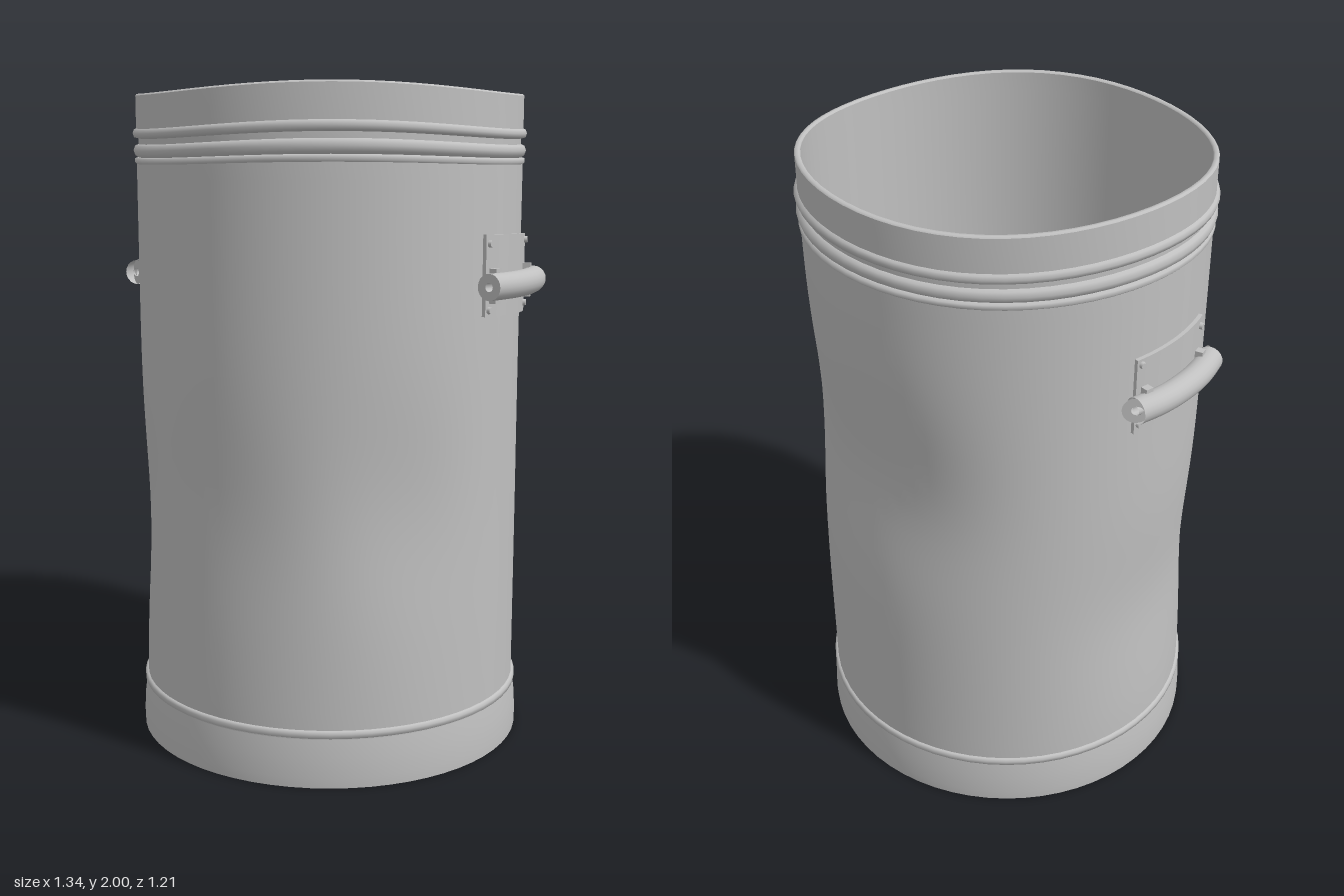
import * as THREE from 'three';
import { mergeVertices } from 'three/addons/utils/BufferGeometryUtils.js';

// Dents: angle from the front towards +x, height, depth, angular width, vertical width
const DENTS = [
  [Math.PI, 1.13, 0.045, 0.5, 0.28],
  [2.45, 1.2, 0.02, 0.3, 0.3],
  [0.85, 0.8, 0.022, 0.35, 0.3],
  [0, 0.75, 0.015, 0.4, 0.3],
  [-0.95, 0.7, 0.015, 0.3, 0.3],
  [-Math.PI / 2, 0.65, 0.022, 0.5, 0.28],
];

// Push the wall inwards at the dents and make the rim slightly wavy
function batter(geometry) {
  const p = geometry.attributes.position;
  for (let i = 0; i < p.count; i++) {
    const x = p.getX(i), y = p.getY(i), z = p.getZ(i);
    const r = Math.hypot(x, z);
    if (r < 0.5) continue;
    const a = Math.atan2(x, z);
    let push = 0;
    for (const [da, dy, depth, wa, wy] of DENTS) {
      const turn = Math.atan2(Math.sin(a - da), Math.cos(a - da));
      push += depth * Math.exp(-((turn / wa) ** 2) - ((y - dy) / wy) ** 2);
    }
    push *= THREE.MathUtils.smoothstep(y, 0.1, 0.35);
    const wave = THREE.MathUtils.smoothstep(y, 1.65, 1.95) * 0.01 * (Math.cos(3 * (a - 0.5)) + 1);
    const k = (r - push) / r;
    p.setXYZ(i, x * k, y - 0.02 * THREE.MathUtils.smoothstep(y, 1.65, 1.95) + wave, z * k);
  }
  // Weld the seam so that the shading stays smooth all round
  geometry.deleteAttribute('uv');
  geometry.deleteAttribute('normal');
  const welded = mergeVertices(geometry, 1e-5);
  welded.computeVertexNormals();
  return welded;
}

const wallPoints = (r, y0, y1, n) =>
  Array.from({ length: n + 1 }, (_, i) => [r, y0 + ((y1 - y0) * i) / n]);

export function createModel() {
  const model = new THREE.Group();
  model.name = 'metalBin';
  const metal = new THREE.MeshStandardMaterial({ color: 0xc0c0c0, side: THREE.DoubleSide });
  metal.name = 'grey metal';

  const add = (parent, name, geometry) => {
    const mesh = new THREE.Mesh(geometry, metal);
    mesh.name = name;
    parent.add(mesh);
    return mesh;
  };
  const ring = (name, points) => add(model, name, batter(
    new THREE.LatheGeometry(points.map(([r, y]) => new THREE.Vector2(r, y)), 64)));

  // Base: underside, flared skirt and the small bead above it
  ring('underside', [[0, 0], [0.605, 0]]);
  ring('baseSkirt', [[0.605, 0], [0.606, 0.03], [0.603, 0.09], [0.596, 0.145]]);
  ring('baseBead', [[0.59, 0.145], [0.601, 0.15], [0.602, 0.163], [0.597, 0.17], [0.588, 0.172]]);

  // Wall, outside and inside, with the floor
  ring('outerWall', wallPoints(0.592, 0.165, 1.79, 30));
  ring('innerWall', wallPoints(0.575, 1.995, 0.03, 34));
  ring('floor', [[0.58, 0.03], [0, 0.03]]);

  // Raised ribs below the rim
  ring('lowerRib', [[0.592, 1.785], [0.597, 1.79], [0.597, 1.803], [0.586, 1.806]]);
  ring('middleRib', [[0.586, 1.806], [0.596, 1.813], [0.601, 1.828], [0.596, 1.843], [0.585, 1.848]]);
  ring('groove', [[0.585, 1.848], [0.585, 1.868]]);
  ring('upperRib', [[0.585, 1.866], [0.599, 1.87], [0.603, 1.882], [0.599, 1.893], [0.59, 1.898]]);

  // Rim collar and its rolled lip
  ring('rimCollar', [[0.592, 1.896], [0.592, 1.945], [0.592, 1.995]]);
  ring('rimLip', [[0.592, 1.995], [0.588, 2], [0.579, 2], [0.575, 1.995]]);

  // Handles, one on each side
  for (const side of [1, -1]) {
    const handle = new THREE.Group();
    handle.name = side > 0 ? 'leftHandle' : 'rightHandle';
    if (side < 0) handle.rotation.y = Math.PI;
    model.add(handle);

    // Curved mounting plate with rounded-off thickness
    const plate = new THREE.BoxGeometry(0.012, 0.235, 0.315, 1, 1, 12);
    const p = plate.attributes.position;
    for (let i = 0; i < p.count; i++) {
      const r = 0.6 + p.getX(i), a = p.getZ(i) / 0.6;
      p.setXYZ(i, r * Math.cos(a), 1.46 + p.getY(i) + p.getZ(i) * 0.03 * side, r * Math.sin(a));
    }
    plate.computeVertexNormals();
    add(handle, 'mountingPlate', plate);

    // Rivets in the four corners
    for (const y of [1.365, 1.555]) for (const a of [-0.235, 0.235]) {
      const rivet = add(handle, 'rivet', new THREE.CylinderGeometry(0.009, 0.011, 0.012, 12));
      rivet.position.set(0.609 * Math.cos(a), y, 0.609 * Math.sin(a));
      rivet.rotation.set(0, -a, -Math.PI / 2);
    }

    // Bowed grip: an open tube around a thin rod
    const bow = new THREE.CatmullRomCurve3([
      [0.605, -0.182], [0.622, -0.115], [0.631, -0.05], [0.631, 0.05], [0.622, 0.115], [0.605, 0.182],
    ].map(([x, z]) => new THREE.Vector3(x, 1.435, z)));
    add(handle, 'grip', new THREE.TubeGeometry(bow, 24, 0.039, 20));
    add(handle, 'gripRod', new THREE.TubeGeometry(bow, 24, 0.014, 10));
    for (const end of [0, 1]) {
      const cap = add(handle, 'gripEnd', new THREE.RingGeometry(0.013, 0.039, 20));
      cap.position.copy(bow.getPoint(end));
      cap.lookAt(cap.position.clone().addScaledVector(bow.getTangent(end), end ? 1 : -1));
    }

    // Brackets holding the grip to the plate
    for (const z of [-0.13, 0.13]) {
      const bracket = add(handle, 'bracket', new THREE.BoxGeometry(0.03, 0.1, 0.025));
      bracket.position.set(0.6, 1.435, z);
      bracket.rotation.y = -z / 0.6;
    }
  }
  return model;
}
